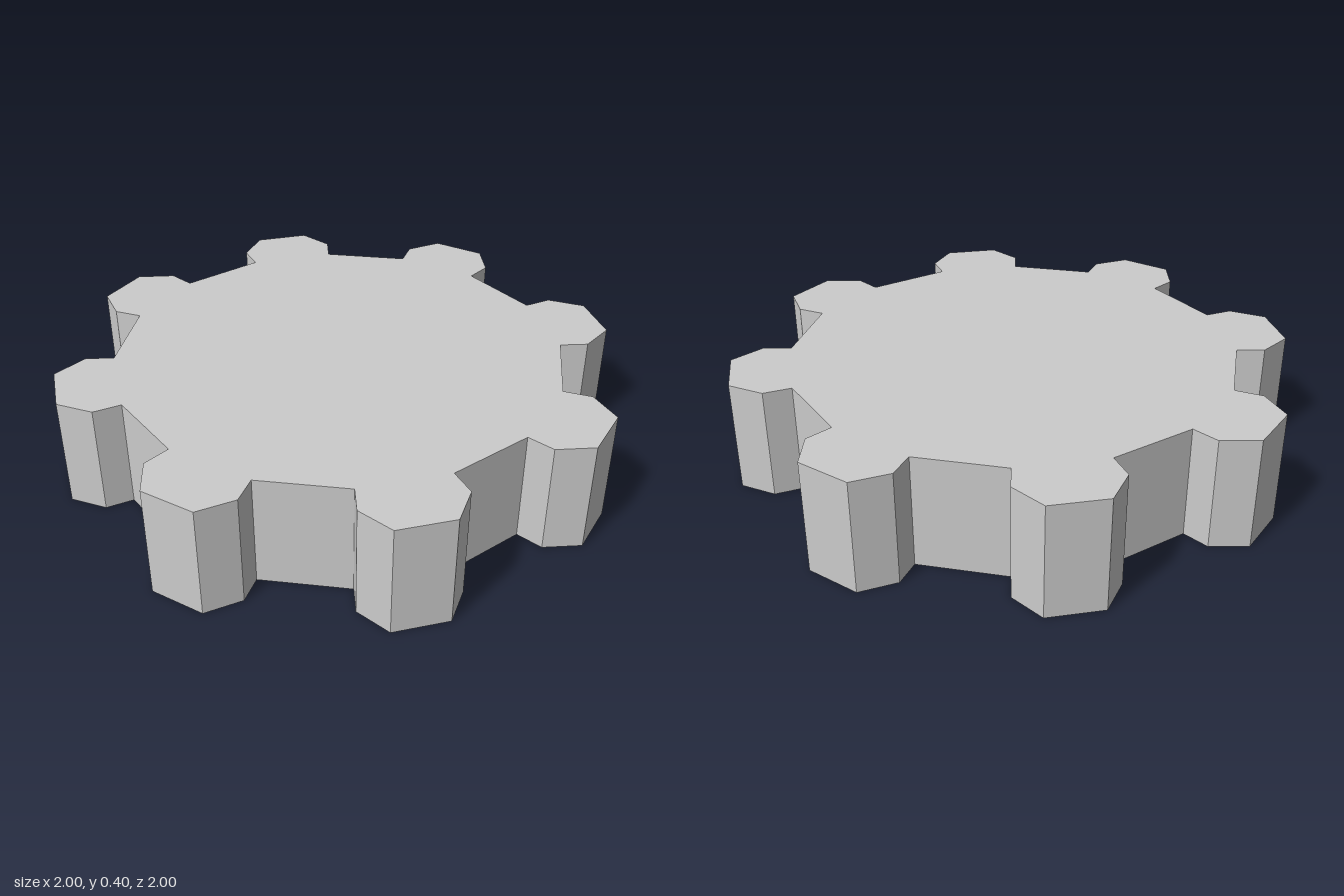
import * as THREE from 'three';

const TEETH = 8;
const STEP = (Math.PI * 2) / TEETH;
const R = 1 / Math.cos(STEP / 8); // widest tooth corner lands on x = 1
const HEIGHT = 0.4 * R;

// One tooth as [radius, fraction of the tooth pitch]: root, shoulder, tip, tip, shoulder, root
const TOOTH = [
  [0.8, 0], [0.9, 0], [1, 1 / 8],
  [1, 3 / 8], [0.9, 1 / 2], [0.8, 1 / 2],
];

function gearOutline() {
  const points = [];
  for (let i = 0; i < TEETH; i++) {
    for (const [r, f] of TOOTH) {
      const a = (i + f) * STEP;
      points.push(new THREE.Vector2(Math.cos(a), Math.sin(a)).multiplyScalar(r * R));
    }
  }
  return new THREE.Shape(points);
}

export function createModel() {
  const group = new THREE.Group();
  group.name = 'gear';

  // Solid gear body, laid flat on the ground
  const geometry = new THREE.ExtrudeGeometry(gearOutline(), { depth: HEIGHT, bevelEnabled: false });
  geometry.rotateX(Math.PI / 2);
  geometry.translate(0, HEIGHT, 0);

  const material = new THREE.MeshStandardMaterial({ color: 0xcccccc, flatShading: true });
  const body = new THREE.Mesh(geometry, material);
  body.name = 'gearBody';
  group.add(body);
  return group;
}
